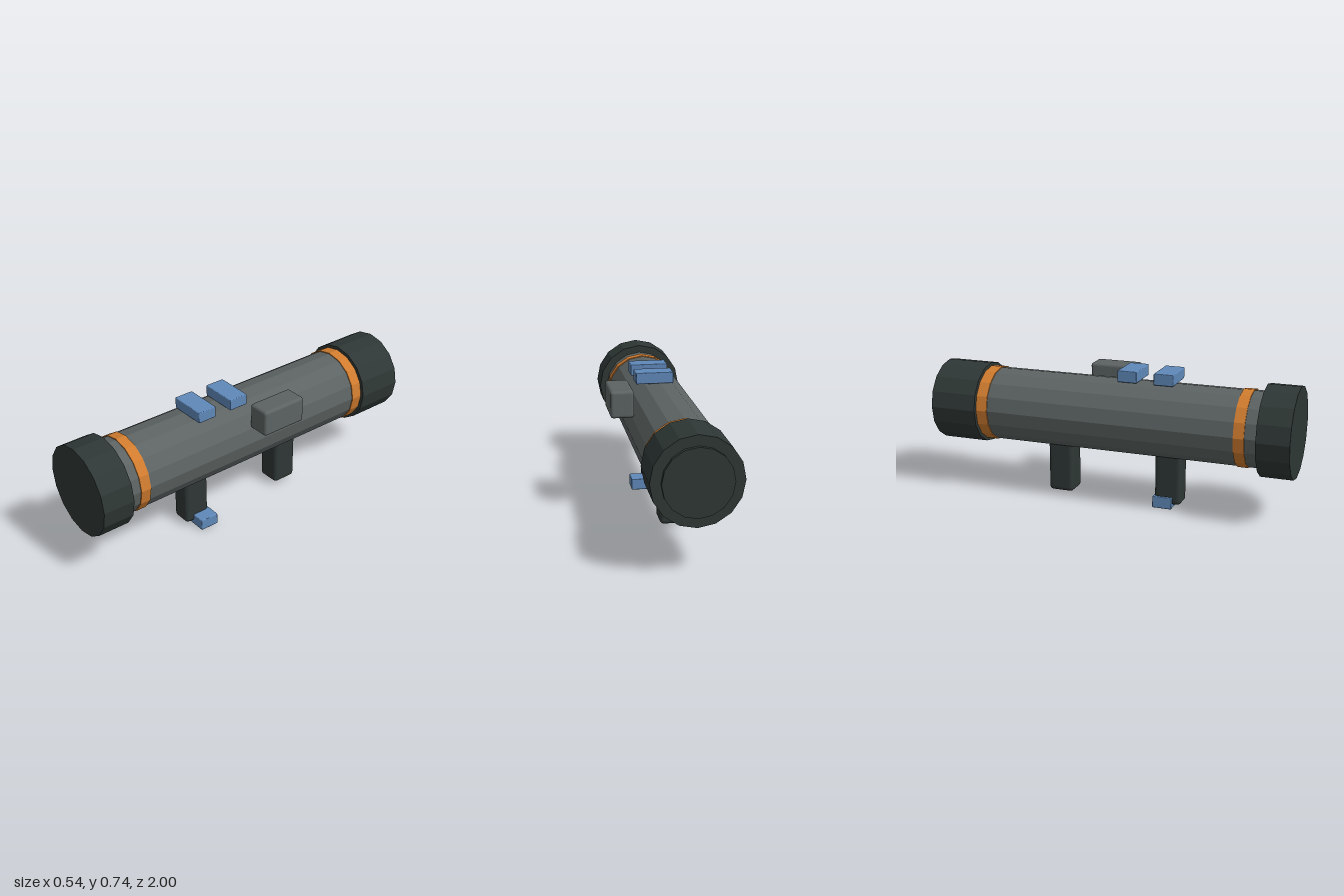
import * as THREE from 'three';
import { RoundedBoxGeometry } from 'three/addons/geometries/RoundedBoxGeometry.js';

const AXIS_X = -0.03;
const AXIS_Y = 0.477;

function material(name, color, flatShading = false) {
  const m = new THREE.MeshStandardMaterial({ color, flatShading });
  m.name = name;
  return m;
}

export function createModel() {
  const model = new THREE.Group();
  model.name = 'shoulderLauncher';

  const grey = material('tubeGrey', 0x5c6362, true);
  const dark = material('darkRubber', 0x2e3735, true);
  const orange = material('bandOrange', 0xd07c2f, true);
  const blue = material('blockBlue', 0x5f88b9, true);

  // 16-sided drum along z on the launcher's axis
  function drum(name, mat, radius, z0, z1) {
    const geo = new THREE.CylinderGeometry(radius, radius, z1 - z0, 16).rotateX(Math.PI / 2);
    const mesh = new THREE.Mesh(geo, mat);
    mesh.name = name;
    mesh.position.set(AXIS_X, AXIS_Y, (z0 + z1) / 2);
    model.add(mesh);
  }

  // Rounded block given by its limits on each axis
  function block(name, mat, [x0, x1], [y0, y1], [z0, z1], radius) {
    const geo = new RoundedBoxGeometry(x1 - x0, y1 - y0, z1 - z0, 3, radius);
    const mesh = new THREE.Mesh(geo, mat);
    mesh.name = name;
    mesh.position.set((x0 + x1) / 2, (y0 + y1) / 2, (z0 + z1) / 2);
    model.add(mesh);
  }

  // Barrel, end caps and bands
  drum('barrel', grey, 0.2, -0.8, 0.9);
  drum('frontCap', dark, 0.241, 0.83, 1);
  drum('rearCap', dark, 0.222, -0.98, -0.72);
  drum('rearPlate', dark, 0.17, -1, -0.95);
  drum('frontBand', orange, 0.205, 0.708, 0.764);
  drum('rearBand', orange, 0.205, -0.718, -0.655);

  // Grips under the barrel
  block('frontGrip', dark, [-0.086, 0.028], [0.02, 0.34], [0.255, 0.4], 0.022);
  block('rearGrip', dark, [-0.094, 0.037], [0.022, 0.34], [-0.355, -0.214], 0.022);

  // Sight box on the left side
  block('sightBox', grey, [0.145, 0.269], [0.559, 0.702], [-0.197, 0.063], 0.016);

  // Blue blocks: two on top, one at the foot of the front grip
  const width = [-0.102, 0.101];
  block('frontTopBlock', blue, width, [0.674, 0.735], [0.249, 0.355], 0.005);
  block('rearTopBlock', blue, width, [0.674, 0.735], [0.049, 0.156], 0.005);
  block('gripBlock', blue, width, [0, 0.063], [0.249, 0.355], 0.005);

  return model;
}
